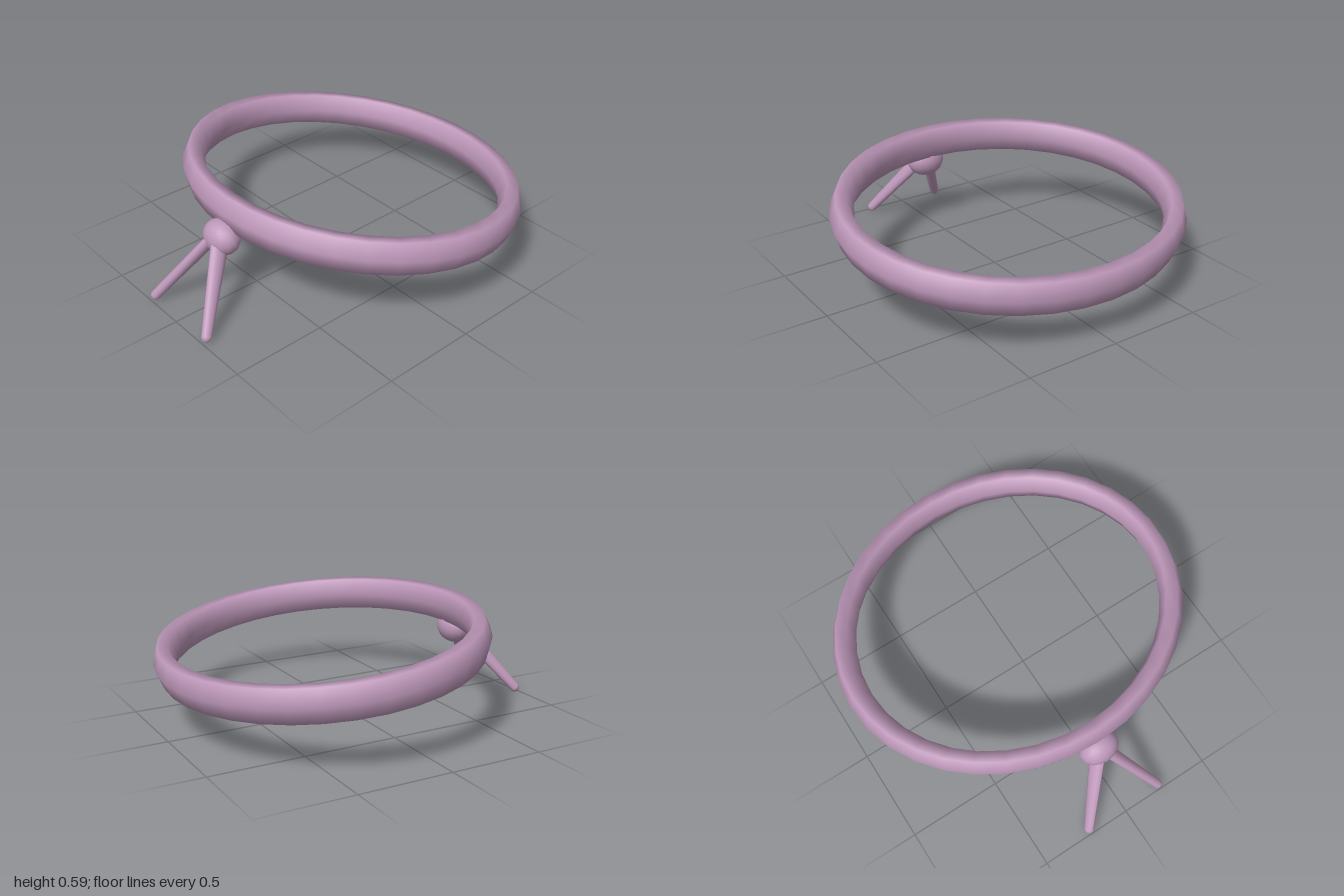
import * as THREE from 'three';

const material = new THREE.MeshStandardMaterial({ color: 0xbe98ba });

function part(name, geometry) {
  const mesh = new THREE.Mesh(geometry, material);
  mesh.name = name;
  return mesh;
}

// Flattened tail: narrow from the front, deep at the knot, round at the tip
function tail(name, from, to) {
  const axis = to.clone().sub(from);
  const length = axis.length();
  const tipRadius = 0.026;
  const profile = [new THREE.Vector2(0, 0), new THREE.Vector2(0.05, 0)];
  for (let i = 0; i <= 4; i++) {
    const a = (i / 4) * Math.PI / 2;
    profile.push(new THREE.Vector2(tipRadius * Math.cos(a), length + tipRadius * Math.sin(a)));
  }
  const geometry = new THREE.LatheGeometry(profile, 16);
  const p = geometry.attributes.position;
  for (let i = 0; i < p.count; i++) {
    const t = Math.min(p.getY(i) / length, 1);
    p.setX(i, p.getX(i) * THREE.MathUtils.lerp(0.56, 1, t));
  }
  geometry.computeVertexNormals();

  // Local z, the deep direction, leans as far forward as the axis allows
  axis.normalize();
  const narrow = axis.clone().cross(new THREE.Vector3(0, 0, 1)).normalize();
  const deep = narrow.clone().cross(axis);
  const mesh = part(name, geometry);
  mesh.quaternion.setFromRotationMatrix(new THREE.Matrix4().makeBasis(narrow, axis, deep));
  mesh.position.copy(from);
  return mesh;
}

export function createModel() {
  const group = new THREE.Group();
  group.name = 'headband';

  // Oval band with a tall six-sided section, tilted so the front sits higher
  const ring = new THREE.TorusGeometry(0.88, 0.063, 6, 36);
  ring.rotateX(Math.PI / 2);
  ring.scale(1, 1.58, 0.908);
  const band = part('band', ring);
  band.rotation.x = -0.122;
  band.position.set(0, 0.404, -0.15);
  group.add(band);

  // Knot
  const ball = new THREE.SphereGeometry(1, 16, 12);
  ball.scale(0.108, 0.09, 0.085);
  const knot = part('knot', ball);
  knot.position.set(0, 0.373, 0.697);
  group.add(knot);

  // Pair of loose ends
  for (const [name, side] of [['leftTail', 1], ['rightTail', -1]]) {
    group.add(tail(name,
      new THREE.Vector3(side * 0.008, 0.4, 0.703),
      new THREE.Vector3(side * 0.218, 0.028, 0.972)));
  }
  return group;
}
